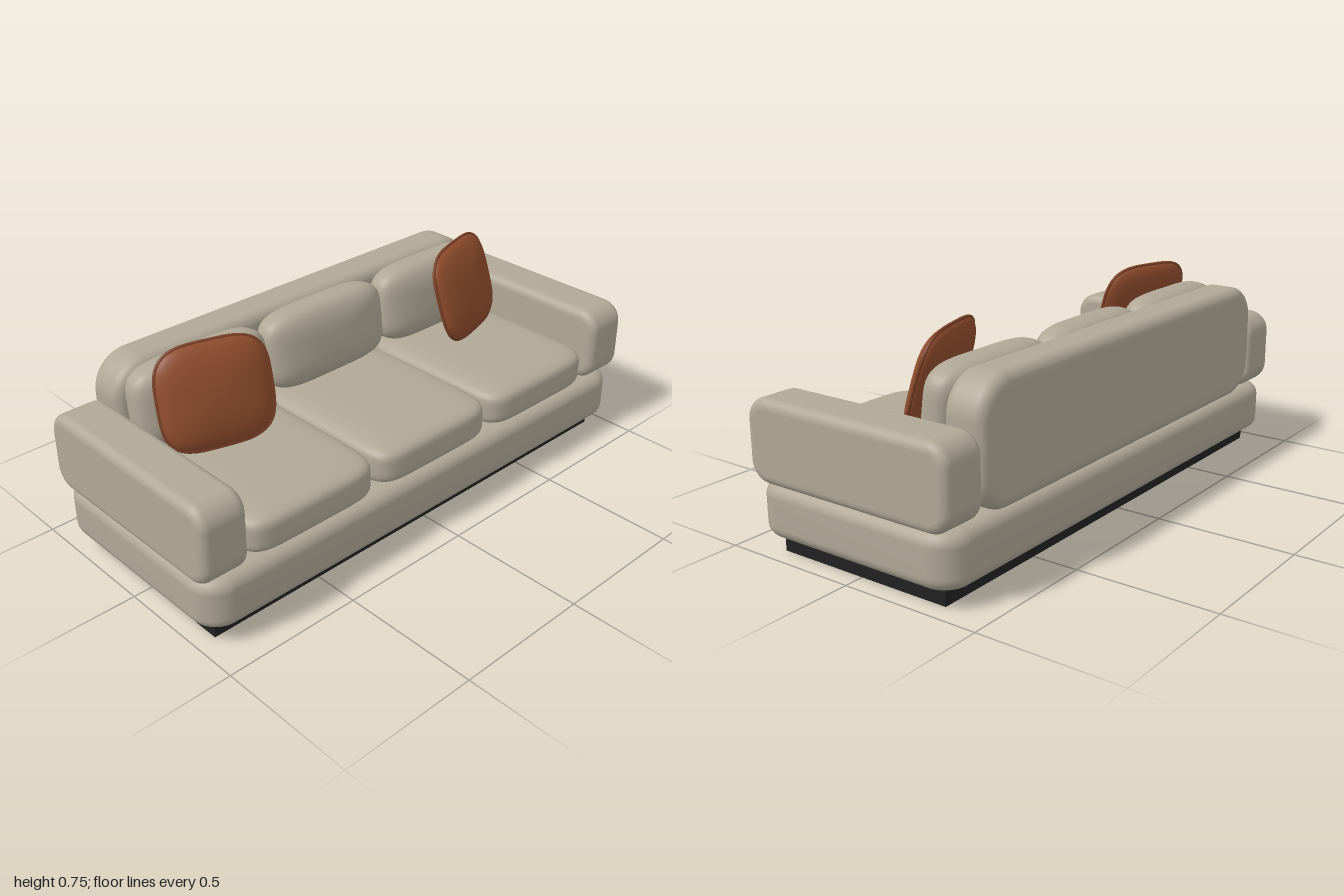
import * as THREE from 'three';
import { mergeVertices } from 'three/addons/utils/BufferGeometryUtils.js';

const fabric = new THREE.MeshStandardMaterial({ color: 0xb0a796 });
fabric.name = 'beige fabric';
const rust = new THREE.MeshStandardMaterial({ color: 0x8f4c2c });
rust.name = 'rust leather';
const piping = new THREE.MeshStandardMaterial({ color: 0x7c4126 });
piping.name = 'dark rust piping';
const black = new THREE.MeshStandardMaterial({ color: 0x212121 });
black.name = 'black plinth';

// Weld the corners and give the surface smooth normals
function smooth(geometry) {
  geometry.deleteAttribute('normal');
  geometry.deleteAttribute('uv');
  const welded = mergeVertices(geometry, 1e-5);
  welded.clearGroups();
  welded.computeVertexNormals();
  return welded;
}

// Upholstered block: rounded rectangle w x h (radius r), d deep along z, edges rounded by b
function slab(w, h, d, r, b) {
  const x = w / 2 - b, y = h / 2 - b, c = r - b;
  const s = new THREE.Shape();
  s.absarc(x - c, y - c, c, 0, Math.PI / 2);
  s.absarc(-x + c, y - c, c, Math.PI / 2, Math.PI);
  s.absarc(-x + c, -y + c, c, Math.PI, Math.PI * 1.5);
  s.absarc(x - c, -y + c, c, Math.PI * 1.5, Math.PI * 2);
  s.closePath();
  const g = new THREE.ExtrudeGeometry(s, {
    depth: d - 2 * b, bevelSize: b, bevelThickness: b, bevelSegments: 6, curveSegments: 10,
  });
  return smooth(g.translate(0, 0, -d / 2 + b));
}

// Stuffed cushion: outline w x h with exponent a, thickness d along z with exponent b
function cushion(w, h, d, a, b) {
  const g = new THREE.BoxGeometry(2, 2, 2, 24, 24, 24);
  const p = g.attributes.position;
  for (let i = 0; i < p.count; i++) {
    const x = p.getX(i), y = p.getY(i), z = p.getZ(i);
    const outline = (Math.abs(x) ** a + Math.abs(y) ** a) ** (b / a);
    const k = (outline + Math.abs(z) ** b) ** (-1 / b);
    p.setXYZ(i, x * k * w / 2, y * k * h / 2, z * k * d / 2);
  }
  return smooth(g);
}

// Closed cord following a cushion outline
function cord(w, h, a, radius) {
  const pts = [];
  for (let i = 0; i < 48; i++) {
    const t = i / 48 * Math.PI * 2, c = Math.cos(t), s = Math.sin(t);
    const k = (Math.abs(c) ** a + Math.abs(s) ** a) ** (-1 / a);
    pts.push(new THREE.Vector3(c * k * w / 2, s * k * h / 2, 0));
  }
  return new THREE.TubeGeometry(new THREE.CatmullRomCurve3(pts, true), 96, radius, 8, true);
}

export function createModel() {
  const model = new THREE.Group();
  model.name = 'sofa';
  const add = (name, geometry, material, x, y, z, parent = model) => {
    const mesh = new THREE.Mesh(geometry, material);
    mesh.name = name;
    mesh.position.set(x, y, z);
    parent.add(mesh);
    return mesh;
  };

  // Plinth, base and backrest
  add('plinth', new THREE.BoxGeometry(1.86, 0.08, 0.67), black, 0, 0.04, 0);
  add('base', slab(1.98, 0.81, 0.185, 0.1, 0.045).rotateX(-Math.PI / 2), fabric, 0, 0.153, 0);
  add('backrest', slab(1.67, 0.424, 0.155, 0.13, 0.04), fabric, 0, 0.457, -0.327);

  // Arms
  const arm = slab(0.81, 0.282, 0.175, 0.075, 0.032).rotateY(Math.PI / 2);
  for (const side of [-1, 1]) {
    add(side > 0 ? 'leftArm' : 'rightArm', arm, fabric, side * 0.9125, 0.386, 0);
  }

  // Three seat cushions with leaning back cushions
  const seat = cushion(0.545, 0.66, 0.157, 7, 5).rotateX(-Math.PI / 2);
  const back = cushion(0.545, 0.288, 0.17, 4.5, 2.8);
  for (const i of [-1, 0, 1]) {
    add('seatCushion', seat, fabric, i * 0.546, 0.322, 0.072);
    add('backCushion', back, fabric, i * 0.546, 0.53, -0.193).rotation.x = -0.13;
  }

  // Throw pillows, turned slightly outwards and leaning back
  const pillow = cushion(0.392, 0.352, 0.105, 3.6, 1.9);
  const trim = cord(0.394, 0.354, 3.6, 0.006);
  for (const side of [-1, 1]) {
    const group = new THREE.Group();
    group.name = side > 0 ? 'leftPillow' : 'rightPillow';
    group.position.set(side * 0.592, 0.577, -0.045);
    group.rotation.set(-0.29, side * 0.28, 0, 'YXZ');
    add('pillowBody', pillow, rust, 0, 0, 0, group);
    add('pillowPiping', trim, piping, 0, 0, 0, group);
    model.add(group);
  }
  return model;
}
